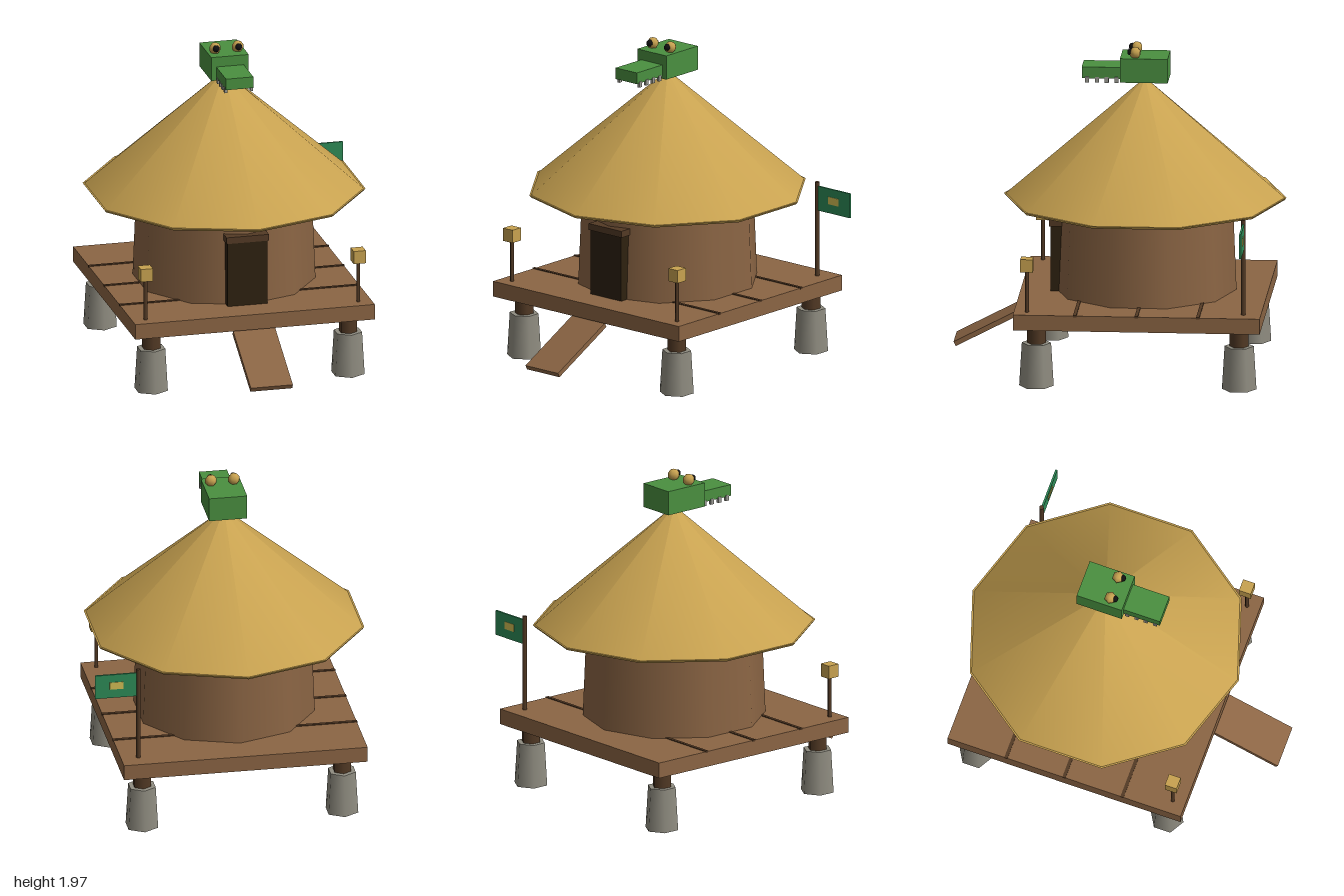
import * as THREE from 'three';

const paint = (name, color) => {
  const m = new THREE.MeshStandardMaterial({ color });
  m.name = name;
  return m;
};

export function createModel() {
  const model = new THREE.Group();
  model.name = 'stiltHut';

  const wood = paint('wood', 0x8b6544);
  const darkWood = paint('dark wood', 0x533a25);
  const doorWood = paint('door', 0x2e2110);
  const thatch = paint('thatch', 0xc8a250);
  const stone = paint('stone', 0x918e82);
  const skin = paint('reptile green', 0x4a9040);
  const cloth = paint('flag green', 0x2e8b57);
  const gold = paint('emblem gold', 0xd4bf55);
  const tooth = paint('tooth', 0x9c9c94);
  const black = paint('pupil', 0x111111);

  // Everything is laid out around the hut's own axis
  const hut = new THREE.Group();
  hut.name = 'hut';
  hut.position.set(-0.046, 0, -0.143);
  model.add(hut);

  const add = (name, geo, mat, x, y, z) => {
    const mesh = new THREE.Mesh(geo, mat);
    mesh.name = name;
    mesh.position.set(x, y, z);
    hut.add(mesh);
    return mesh;
  };
  const box = (name, mat, w, h, d, x, y, z) =>
    add(name, new THREE.BoxGeometry(w, h, d), mat, x, y, z);
  // Upright cylinder given by its bottom and top heights
  const column = (name, mat, rTop, rBottom, y0, y1, sides, x = 0, z = 0) =>
    add(name, new THREE.CylinderGeometry(rTop, rBottom, y1 - y0, sides), mat, x, (y0 + y1) / 2, z);

  // Stilts on stone footings
  for (const sx of [-1, 1]) {
    for (const sz of [-1, 1]) {
      column('footing', stone, 0.088, 0.104, 0, 0.265, 6, sx * 0.61, sz * 0.61);
      column('stilt', darkWood, 0.057, 0.057, 0.2, 0.375, 6, sx * 0.61, sz * 0.61);
    }
  }

  // Deck with dark plank seams
  box('deck', wood, 1.485, 0.095, 1.485, 0, 0.4175, 0);
  for (const z of [-0.37, 0, 0.37]) {
    box('plankSeam', darkWood, 1.49, 0.012, 0.02, 0, 0.464, z);
  }

  // Boarding ramp
  box('ramp', wood, 0.26, 0.03, 0.48, 0, 0.24, 0.924).rotation.x = 0.48;

  // Round wall and thatched roof
  column('wall', wood, 0.527, 0.55, 0.46, 1.03, 10);
  column('roof', thatch, 0, 0.84, 1.035, 1.765, 10);
  column('roofRim', thatch, 0.85, 0.84, 1.022, 1.036, 10);

  // Doorway
  box('door', doorWood, 0.245, 0.405, 0.08, 0, 0.665, 0.521);
  box('lintel', darkWood, 0.263, 0.04, 0.08, 0, 0.885, 0.529);

  // Lanterns on the front corners
  for (const sx of [-1, 1]) {
    column('lanternPole', darkWood, 0.012, 0.012, 0.46, 0.73, 6, sx * 0.66, 0.664);
    box('lantern', thatch, 0.075, 0.08, 0.075, sx * 0.66, 0.757, 0.664);
  }

  // Flag at the back left corner, with an emblem on both faces
  column('flagPole', darkWood, 0.014, 0.014, 0.46, 1.05, 8, 0.636, -0.637);
  box('flag', cloth, 0.255, 0.152, 0.012, 0.773, 0.95, -0.637);
  for (const s of [-1, 1]) {
    box('flagEmblem', gold, 0.082, 0.046, 0.004, 0.771, 0.953, -0.637 + s * 0.007);
  }

  // Reptile head on the roof peak
  box('head', skin, 0.232, 0.148, 0.287, 0, 1.832, 0);
  box('snout', skin, 0.17, 0.07, 0.235, 0, 1.809, 0.258);
  for (const sx of [-1, 1]) {
    for (let i = 0; i < 4; i++) {
      box('tooth', tooth, 0.016, 0.035, 0.024, sx * 0.08, 1.766, 0.167 + i * 0.059);
    }
    add('eye', new THREE.SphereGeometry(0.037, 6, 5), thatch, sx * 0.07, 1.932, 0.055);
    add('pupil', new THREE.SphereGeometry(0.022, 6, 5), black, sx * 0.07, 1.938, 0.083);
  }

  return model;
}
